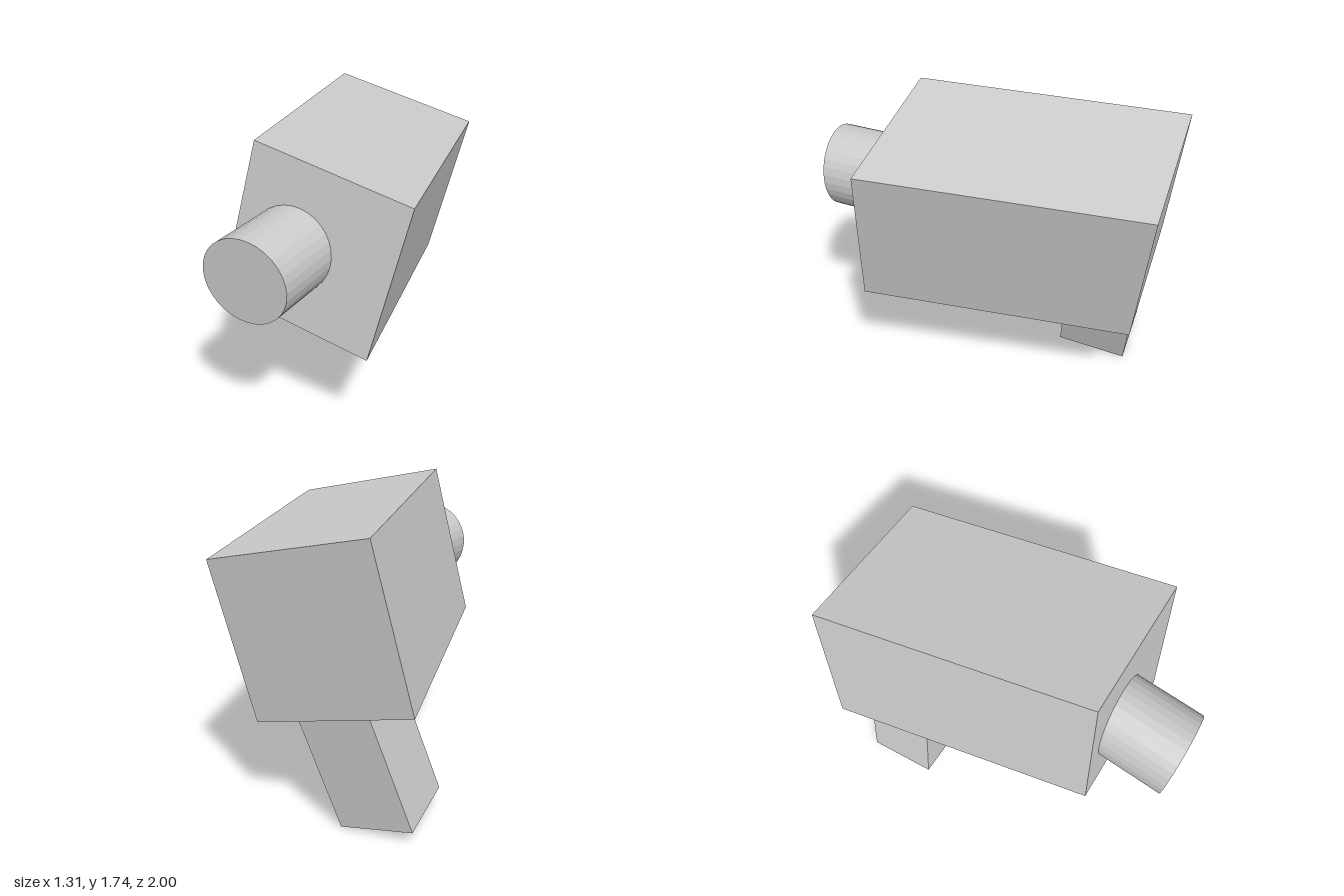
import * as THREE from 'three';

const material = new THREE.MeshStandardMaterial({ color: 0xcccccc, flatShading: true });
const vec = (a) => new THREE.Vector3(...a);

// Places a unit geometry on three edge vectors, which may be slightly sheared.
function skewed(name, geometry, center, x, y, z) {
  const frame = new THREE.Matrix4().makeBasis(vec(x), vec(y), vec(z)).setPosition(...center);
  geometry.applyMatrix4(frame);
  geometry.computeVertexNormals();
  const mesh = new THREE.Mesh(geometry, material);
  mesh.name = name;
  return mesh;
}

export function createModel() {
  const group = new THREE.Group();
  group.name = 'cameraOnHandle';

  // Leaning main body
  group.add(skewed('body', new THREE.BoxGeometry(1, 1, 1), [0, 1.153, -0.174],
    [0.888, -0.189, 0.021], [0.191, 0.882, -0.099], [0.229, 0.102, 1.531]));

  // Lens barrel: starts inside the body and ends at the front cap
  const barrel = new THREE.CylinderGeometry(1, 1, 1, 32).rotateX(Math.PI / 2);
  const cap = [-0.047, 1.196, 0.988];
  const axis = [-0.054, 0.005, 0.6];
  group.add(skewed('lens', barrel, cap.map((c, i) => c - axis[i] / 2),
    [0.241, 0, 0.005], [0, 0.241, 0.011], axis));

  // Handle: rises from its bottom face into the body
  const right = [0.411, -0.07, 0.012];
  const up = [0.23, 0.69, -0.078];
  const front = [0.001, 0.051, 0.418];
  const bottom = [-0.414, 0.064, -0.595];
  group.add(skewed('handle', new THREE.BoxGeometry(1, 1, 1),
    bottom.map((c, i) => c + up[i] / 2), right, up, front));

  return group;
}
